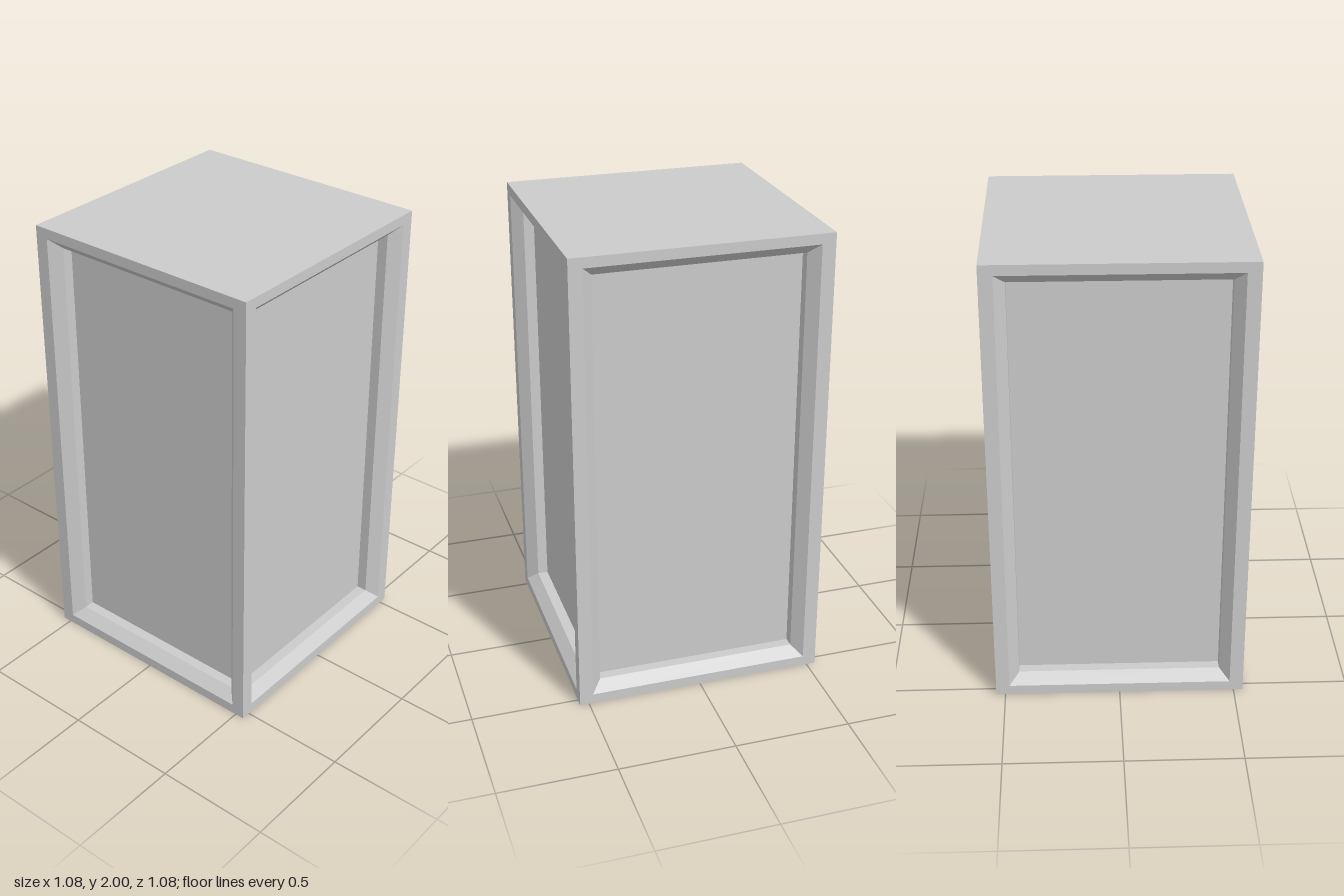
import * as THREE from 'three';

const HALF = 0.54;
const HEIGHT = 2;
const CENTRE = HEIGHT / 2;

// One side as nested rectangles [half width, half height, z]:
// outer edge, frame opening, foot of the bevel, foot of the straight recess.
const RINGS = [
  [HALF, CENTRE, HALF],
  [0.482, 0.956, HALF],
  [0.438, 0.913, HALF - 0.045],
  [0.438, 0.913, HALF - 0.09],
];

const corners = ([w, h, z]) =>
  [[-1, -1], [1, -1], [1, 1], [-1, 1]].map(([sx, sy]) => [sx * w, CENTRE + sy * h, z]);

// Flat-shaded geometry from a list of counter-clockwise quads
function quadGeometry(quads) {
  const positions = quads.flatMap(([a, b, c, d]) => [a, b, c, a, c, d].flat());
  const geometry = new THREE.BufferGeometry();
  geometry.setAttribute('position', new THREE.Float32BufferAttribute(positions, 3));
  geometry.computeVertexNormals();
  return geometry;
}

// Quads joining each rectangle to the next one inwards
function ringQuads(rings) {
  const quads = [];
  for (let i = 0; i + 1 < rings.length; i++) {
    const outer = corners(rings[i]);
    const inner = corners(rings[i + 1]);
    for (let k = 0; k < 4; k++) {
      const n = (k + 1) % 4;
      quads.push([outer[k], outer[n], inner[n], inner[k]]);
    }
  }
  return quads;
}

export function createModel() {
  const model = new THREE.Group();
  model.name = 'panelledBlock';
  const material = new THREE.MeshStandardMaterial({ color: 0xcccccc, flatShading: true });

  const add = (parent, geometry, name) => {
    const mesh = new THREE.Mesh(geometry, material);
    mesh.name = name;
    parent.add(mesh);
    return mesh;
  };

  // Four identical sides, each with a bevelled frame and a sunken panel
  const frame = quadGeometry(ringQuads(RINGS));
  const panel = quadGeometry([corners(RINGS[3])]);
  ['front', 'left', 'back', 'right'].forEach((side, i) => {
    const wall = new THREE.Group();
    wall.name = `${side}Side`;
    wall.rotation.y = (i * Math.PI) / 2;
    add(wall, frame, `${side}Frame`);
    add(wall, panel, `${side}Panel`);
    model.add(wall);
  });

  // Plain top and bottom
  const cap = new THREE.PlaneGeometry(HALF * 2, HALF * 2);
  const top = add(model, cap, 'top');
  top.rotation.x = -Math.PI / 2;
  top.position.y = HEIGHT;
  const bottom = add(model, cap, 'bottom');
  bottom.rotation.x = Math.PI / 2;

  return model;
}
